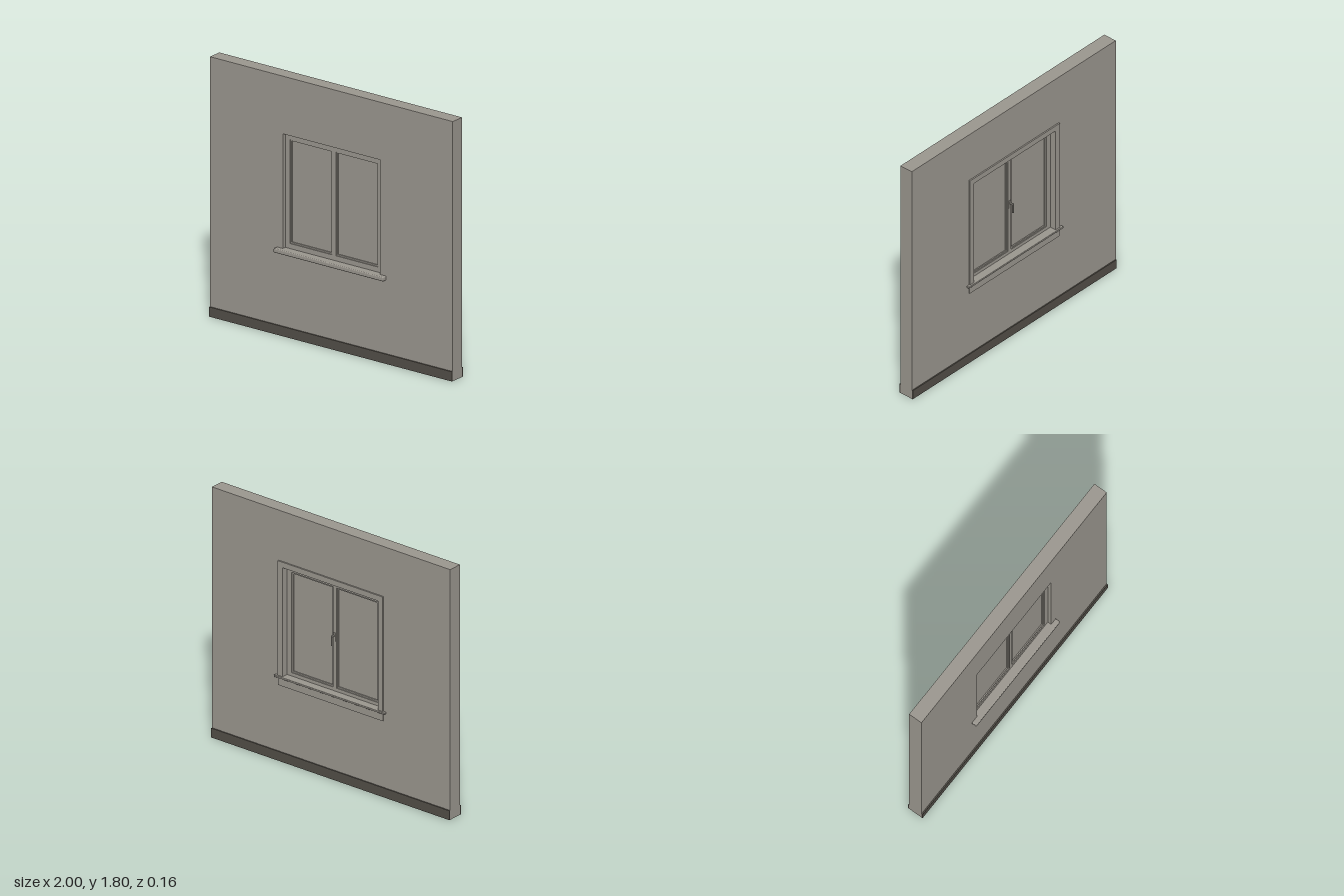
import * as THREE from 'three';
import { RoundedBoxGeometry } from 'three/addons/geometries/RoundedBoxGeometry.js';

const paint = (name, color) => new THREE.MeshStandardMaterial({ name, color });

export function createModel() {
  const model = new THREE.Group();
  model.name = 'wallWithWindow';
  const plaster = paint('warm grey plaster', 0x9a968e);
  const dark = paint('dark skirting', 0x524e47);

  const add = (name, geometry, material = plaster, parent = model) => {
    const mesh = new THREE.Mesh(geometry, material);
    mesh.name = name;
    parent.add(mesh);
    return mesh;
  };
  // Box given by its limits on each axis
  const box = (name, [x0, x1], [y0, y1], [z0, z1], material, parent, radius = 0) => {
    const size = [x1 - x0, y1 - y0, z1 - z0];
    const geometry = radius
      ? new RoundedBoxGeometry(...size, 3, radius)
      : new THREE.BoxGeometry(...size);
    const mesh = add(name, geometry, material, parent);
    mesh.position.set((x0 + x1) / 2, (y0 + y1) / 2, (z0 + z1) / 2);
    return mesh;
  };
  const rectangle = (Type, x0, x1, y0, y1) => new Type([
    new THREE.Vector2(x0, y0), new THREE.Vector2(x1, y0),
    new THREE.Vector2(x1, y1), new THREE.Vector2(x0, y1),
  ]);
  // Flat rectangular ring: outer and inner are [x0, x1, y0, y1]
  const ring = (name, outer, inners, z0, z1, parent) => {
    const shape = rectangle(THREE.Shape, ...outer);
    shape.holes = inners.map((inner) => rectangle(THREE.Path, ...inner));
    const geometry = new THREE.ExtrudeGeometry(shape, { depth: z1 - z0, bevelEnabled: false });
    geometry.translate(0, 0, z0);
    return add(name, geometry, plaster, parent);
  };

  // Wall with the window opening
  ring('wall', [-1, 1, 0, 1.8], [[-0.4, 0.4, 0.6, 1.4]], -0.055, 0.045);

  // Skirting along both faces
  box('frontSkirting', [-1, 1], [0, 0.067], [0.045, 0.054], dark);
  box('backSkirting', [-1, 1], [0, 0.067], [-0.063, -0.055], dark);

  // Window frame, with one opening for each sash
  const windowUnit = new THREE.Group();
  windowUnit.name = 'window';
  model.add(windowUnit);
  const openings = [-1, 1].map((side) => {
    const xs = [side * 0.016, side * 0.363].sort((a, b) => a - b);
    return [...xs, 0.64, 1.362];
  });
  ring('windowFrame', [-0.4, 0.4, 0.6, 1.4], openings, -0.018, 0.018, windowUnit);

  // Sash beads and panes
  openings.forEach(([x0, x1, y0, y1], i) => {
    const side = i ? 'left' : 'right';
    const b = 0.01;
    ring(side + 'Bead', [x0, x1, y0, y1], [[x0 + b, x1 - b, y0 + b, y1 - b]], -0.011, 0.011, windowUnit);
    box(side + 'Pane', [x0 + b, x1 - b], [y0 + b, y1 - b], [-0.003, 0.003], plaster, windowUnit);
  });

  // Handle on the inner side of the mullion
  const handle = new THREE.Group();
  handle.name = 'handle';
  windowUnit.add(handle);
  box('handlePlate', [-0.009, 0.009], [0.975, 1.035], [-0.023, -0.018], plaster, handle);
  box('handleStem', [-0.005, 0.005], [1.012, 1.022], [-0.045, -0.022], plaster, handle);
  box('handleLever', [-0.006, 0.006], [0.95, 1.025], [-0.053, -0.043], plaster, handle, 0.004);

  // Outer sill with a rounded nose
  box('frontSill', [-0.452, 0.452], [0.575, 0.605], [0.035, 0.079], plaster, model, 0.007);
  box('frontSillInset', [-0.4, 0.4], [0.59, 0.605], [0.016, 0.05]);

  // Inner casing on three sides, stool and apron
  const t = 0.04;
  const casing = rectangle(THREE.Shape, -0.4 - t, 0.4 + t, 0.61, 1.4 + t);
  casing.holes = [rectangle(THREE.Path, -0.4, 0.4, 0.612, 1.4)];
  const casingGeometry = new THREE.ExtrudeGeometry(casing, { depth: 0.01, bevelEnabled: false });
  add('backCasing', casingGeometry).position.z = -0.065;
  box('backStool', [-0.464, 0.464], [0.602, 0.616], [-0.077, -0.055], plaster, model, 0.004);
  box('backStoolInset', [-0.4, 0.4], [0.598, 0.616], [-0.06, -0.016]);
  box('backApron', [-0.44, 0.44], [0.545, 0.603], [-0.062, -0.055]);

  return model;
}
